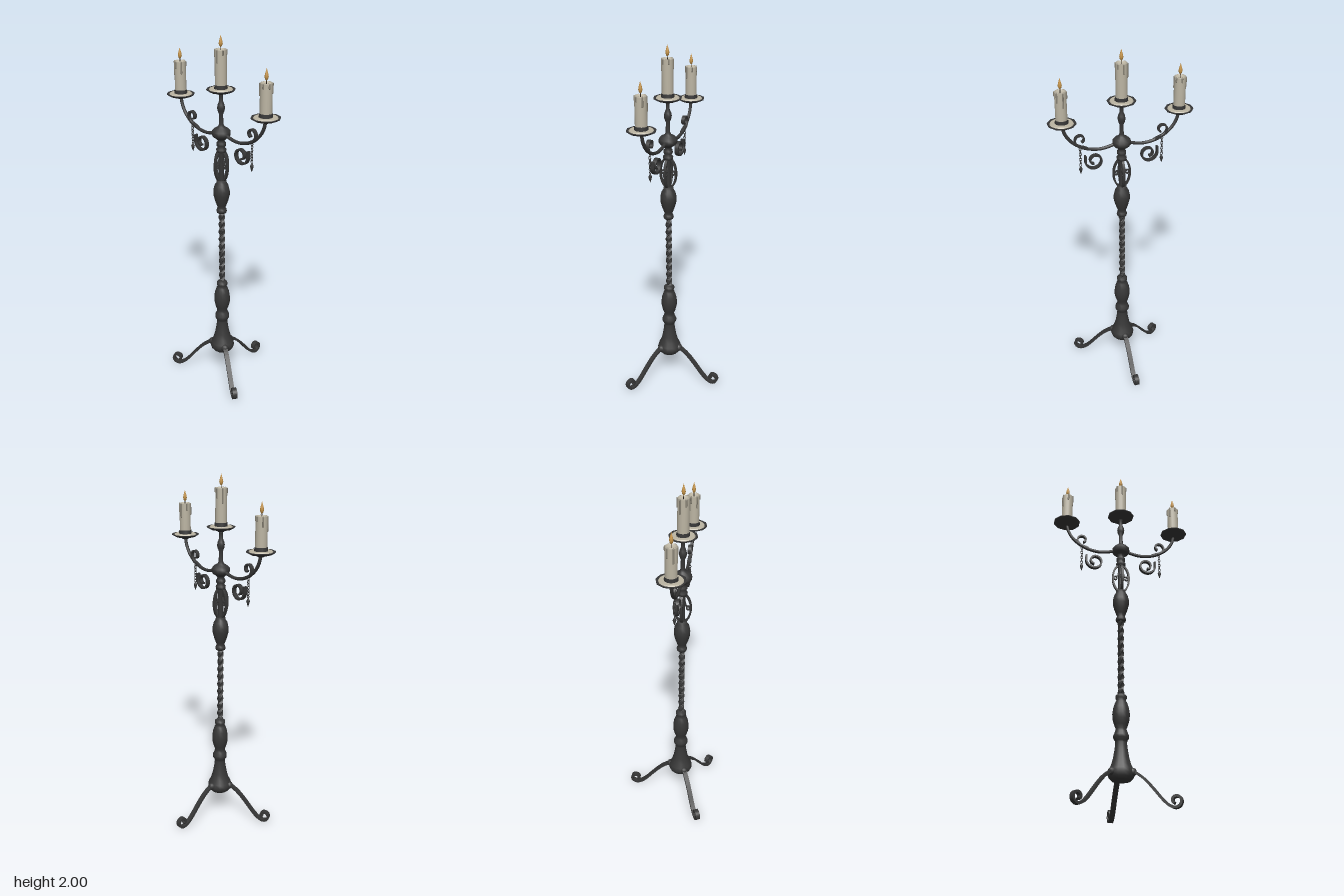
import * as THREE from 'three';

const AXIS_Z = 0.075;
const V2 = (p) => new THREE.Vector2(p[0], p[1]);

function mesh(name, geometry, material, x = 0, y = 0, z = 0) {
  const m = new THREE.Mesh(geometry, material);
  m.name = name;
  m.position.set(x, y, z);
  return m;
}

const lathe = (pts, sides) => new THREE.LatheGeometry(pts.map(V2), sides);

// Points of a spiral in the xy plane; angles in degrees
function spiral(cx, cy, r0, r1, a0, a1, n = 16) {
  return Array.from({ length: n + 1 }, (_, i) => {
    const t = i / n, r = r0 + (r1 - r0) * t;
    const a = THREE.MathUtils.degToRad(a0 + (a1 - a0) * t);
    return [cx + r * Math.cos(a), cy + r * Math.sin(a)];
  });
}

// Flat iron strip that follows a curve in the xy plane
function strip(points, thickness, width, n = 48) {
  const curve = new THREE.SplineCurve(points.map(V2));
  const upper = [], lower = [];
  for (let i = 0; i <= n; i++) {
    const p = curve.getPoint(i / n), t = curve.getTangent(i / n);
    const off = new THREE.Vector2(-t.y, t.x).multiplyScalar(thickness / 2);
    upper.push(p.clone().add(off));
    lower.unshift(p.clone().sub(off));
  }
  const g = new THREE.ExtrudeGeometry(new THREE.Shape([...upper, ...lower]), { depth: width, bevelEnabled: false });
  return g.translate(0, 0, -width / 2);
}

export function createModel() {
  const mat = (name, color) => {
    const m = new THREE.MeshStandardMaterial({ color });
    m.name = name;
    return m;
  };
  const iron = mat('wrought iron', 0x373737);
  const wax = mat('candle wax', 0xbcb5a3);
  const drip = mat('wax drips', 0x8f897b);
  const flameMat = mat('flame', 0xc8964a);
  const wickMat = mat('wick', 0x2a2420);

  const model = new THREE.Group();
  model.name = 'candelabra';
  const stand = new THREE.Group();
  stand.name = 'stand';
  stand.position.z = AXIS_Z;
  model.add(stand);

  // Turned foot and lower baluster
  stand.add(mesh('lowerColumn', lathe([
    [0, 0.155], [0.05, 0.155], [0.064, 0.17], [0.07, 0.19], [0.065, 0.21], [0.052, 0.235],
    [0.042, 0.27], [0.034, 0.315], [0.03, 0.35], [0.032, 0.36], [0.041, 0.375], [0.041, 0.39],
    [0.032, 0.41], [0.028, 0.425], [0.036, 0.445], [0.044, 0.475], [0.046, 0.505], [0.041, 0.54],
    [0.031, 0.57], [0.024, 0.58], [0.03, 0.59], [0.03, 0.605], [0.018, 0.615], [0, 0.615],
  ], 14), iron));

  // Twisted square shaft
  const twist = new THREE.BoxGeometry(0.025, 0.45, 0.025, 1, 80, 1).toNonIndexed();
  const pos = twist.attributes.position;
  const v = new THREE.Vector3(), up = new THREE.Vector3(0, 1, 0);
  for (let i = 0; i < pos.count; i++) {
    v.fromBufferAttribute(pos, i).applyAxisAngle(up, (pos.getY(i) / 0.45) * Math.PI * 5);
    pos.setXYZ(i, v.x, v.y, v.z);
  }
  twist.computeVertexNormals();
  stand.add(mesh('twistedShaft', twist, iron, 0, 0.83, 0));

  // Upper baluster
  stand.add(mesh('upperBaluster', lathe([
    [0, 1.04], [0.026, 1.04], [0.029, 1.05], [0.026, 1.062], [0.021, 1.07], [0.027, 1.085],
    [0.036, 1.11], [0.045, 1.145], [0.045, 1.17], [0.038, 1.2], [0.028, 1.215], [0.026, 1.23], [0, 1.23],
  ], 14), iron));

  // Hub, collars and the stem under the middle plate
  stand.add(mesh('upperColumn', lathe([
    [0.015, 1.22], [0.015, 1.385], [0.026, 1.39], [0.028, 1.405], [0.018, 1.415], [0.025, 1.425],
    [0.025, 1.44], [0.017, 1.45], [0.026, 1.462], [0.042, 1.472], [0.05, 1.485], [0.05, 1.503],
    [0.038, 1.517], [0.018, 1.528], [0.012, 1.54], [0.011, 1.595], [0.019, 1.615], [0.021, 1.63],
    [0.018, 1.645], [0.01, 1.665], [0.01, 1.695], [0.02, 1.71], [0, 1.715],
  ], 12), iron));

  // Four-bow cage with inner curls
  for (let i = 0; i < 4; i++) {
    const side = new THREE.Group();
    side.name = 'cageSide';
    side.rotation.y = i * Math.PI / 2;
    const bow = spiral(0, 0, 1, 1, -80, 80, 12).map(([x, y]) => [x * 0.046, 1.31 + y * 0.085]);
    side.add(mesh('cageBow', strip(bow, 0.01, 0.014, 20), iron));
    side.add(mesh('cageCurl', strip([[0.014, 1.345], ...spiral(0.03, 1.31, 0.013, 0.006, 130, -200, 10)], 0.006, 0.012, 24), iron));
    stand.add(side);
  }

  // Three scrolled legs
  const legGeo = strip([
    [0.04, 0.205], [0.075, 0.192], [0.12, 0.158], [0.165, 0.108], [0.205, 0.058], [0.235, 0.026],
    ...spiral(0.28, 0.038, 0.034, 0.014, -125, 240, 18),
  ], 0.013, 0.026, 72);
  for (const deg of [90, -30, 210]) {
    const leg = new THREE.Group();
    leg.name = 'leg';
    leg.rotation.y = THREE.MathUtils.degToRad(deg);
    leg.add(mesh('legStrip', legGeo, iron));
    leg.add(mesh('legBoss', new THREE.SphereGeometry(0.022, 10, 8), iron, 0.06, 0.195, 0));
    stand.add(leg);
  }

  // Two arms with scrolls and hanging chains
  const armPath = new THREE.CatmullRomCurve3([
    [0.035, 1.488], [0.075, 1.476], [0.125, 1.47], [0.185, 1.48], [0.235, 1.503],
    [0.28, 1.542], [0.306, 1.585], [0.317, 1.63],
  ].map(([x, y]) => new THREE.Vector3(x, y, 0)));
  const armGeo = new THREE.TubeGeometry(armPath, 28, 0.009, 8);
  const upperScroll = strip([[0.185, 1.482], [0.205, 1.492], [0.235, 1.503],
    ...spiral(0.224, 1.538, 0.03, 0.016, -30, 250, 14)], 0.009, 0.02);
  const lowerScroll = strip([[0.199, 1.44],
    ...spiral(0.15, 1.407, 0.05, 0.018, 0, -440, 26)], 0.01, 0.022, 72);
  const linkGeo = new THREE.TorusGeometry(0.0085, 0.0022, 5, 10).scale(0.75, 1.2, 1);
  const pendantGeo = lathe([[0, -0.05], [0.006, -0.032], [0.01, -0.018], [0.005, -0.007], [0.003, 0], [0, 0]], 8);
  for (const turn of [0, Math.PI]) {
    const arm = new THREE.Group();
    arm.name = turn ? 'rightArm' : 'leftArm';
    arm.rotation.y = turn;
    arm.add(mesh('armBar', armGeo, iron));
    arm.add(mesh('upperScroll', upperScroll, iron));
    arm.add(mesh('lowerScroll', lowerScroll, iron));
    for (let i = 0; i < 7; i++) {
      const link = mesh('chainLink', linkGeo, iron, 0.226, 1.485 - i * 0.0155, 0);
      link.rotation.y = (i % 2) * Math.PI / 2;
      arm.add(link);
    }
    arm.add(mesh('pendant', pendantGeo, iron, 0.226, 1.385, 0));
    stand.add(arm);
  }

  // Drip plate, wax pool, candle and flame
  const plateGeo = lathe([
    [0, -0.02], [0.018, -0.02], [0.024, -0.012], [0.055, -0.008], [0.075, 0.002], [0.076, 0.008],
    [0.064, 0.005], [0, 0.003],
  ], 10);
  const poolGeo = new THREE.CylinderGeometry(0.058, 0.063, 0.006, 20);
  const cupGeo = new THREE.CylinderGeometry(0.034, 0.036, 0.022, 12, 1, true);
  const flameGeo = lathe([[0, 0], [0.007, 0.008], [0.0105, 0.02], [0.008, 0.034], [0.004, 0.048], [0, 0.062]], 10);
  function candle(name, x, plateY, topY) {
    const g = new THREE.Group();
    g.name = name;
    g.position.set(x, plateY, 0);
    const h = topY - plateY;
    g.add(mesh('dripPlate', plateGeo, iron));
    g.add(mesh('waxPool', poolGeo, wax, 0, 0.007, 0));
    g.add(mesh('candleCup', cupGeo, iron, 0, 0.019, 0));
    g.add(mesh('candleBody', lathe([[0.031, 0.005], [0.031, h - 0.004], [0.029, h], [0.026, h],
      [0.022, h - 0.008], [0, h - 0.01]], 16), wax));
    // Wax runs down the sides
    for (let i = 0; i < 6; i++) {
      const a = i * 1.05 + x * 3 + 0.4, len = 0.02 + 0.013 * ((i * 3) % 5);
      g.add(mesh('waxDrip', new THREE.CapsuleGeometry(0.0045, len, 3, 6), drip,
        0.0305 * Math.cos(a), h - 0.004 - len / 2, 0.0305 * Math.sin(a)));
    }
    g.add(mesh('wick', new THREE.CylinderGeometry(0.002, 0.002, 0.022, 6), wickMat, 0, h, 0));
    g.add(mesh('flame', flameGeo, flameMat, 0, h + 0.008, 0));
    stand.add(g);
  }
  candle('middleCandle', 0, 1.72, 1.93);
  candle('leftCandle', 0.317, 1.637, 1.817);
  candle('rightCandle', -0.317, 1.637, 1.822);

  return model;
}
